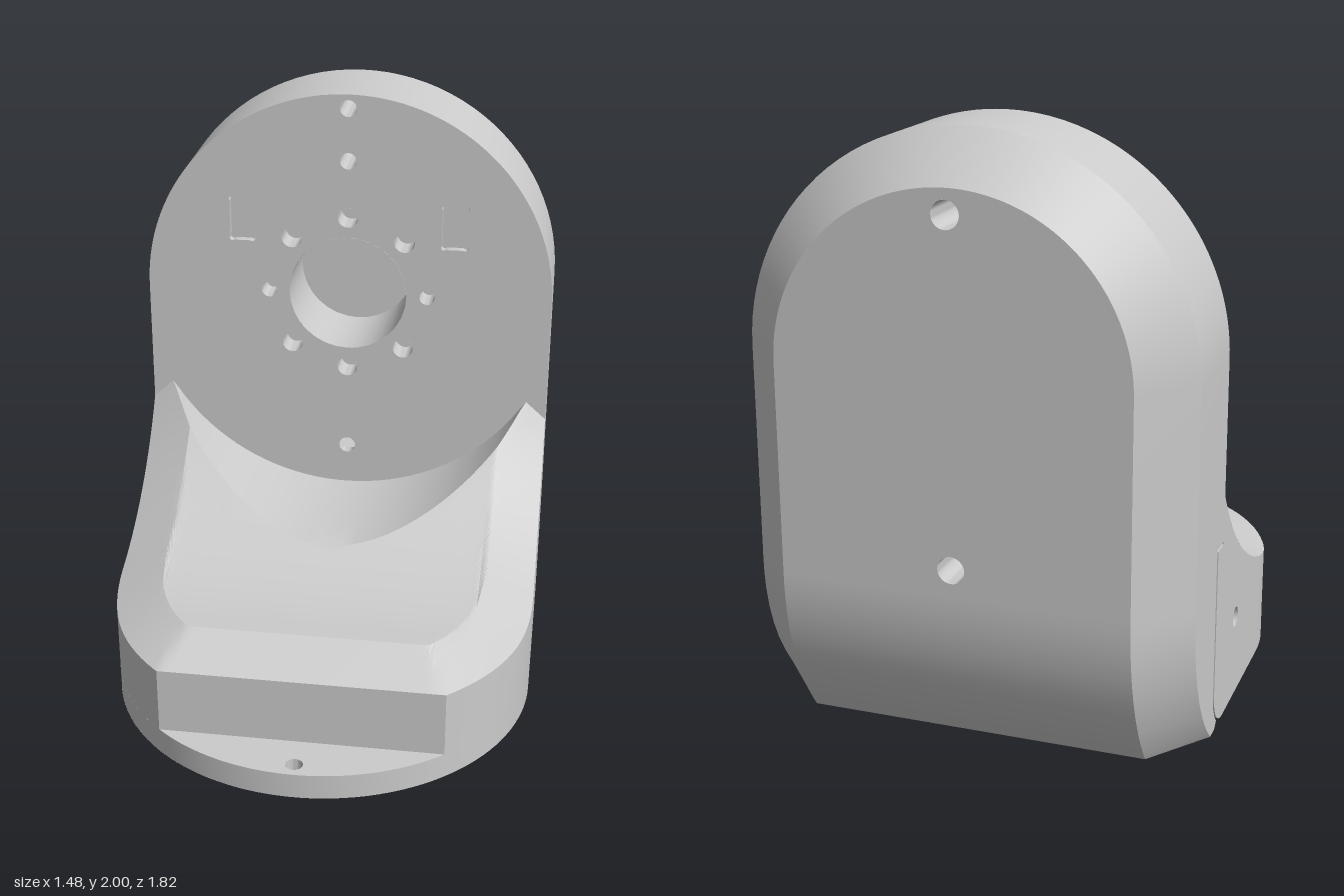
import * as THREE from 'three';
import { toCreasedNormals } from 'three/addons/utils/BufferGeometryUtils.js';

const R = 0.74, AXIS_Y = 1.26, AXIS_Z = 0.17, FACE_Z = -0.4;
const material = new THREE.MeshStandardMaterial({ color: 0xcccccc, side: THREE.DoubleSide });

function add(parent, name, geometry) {
  const mesh = new THREE.Mesh(geometry, material);
  mesh.name = name;
  parent.add(mesh);
  return mesh;
}

// Skin over rows of points, every row the same length
function skin(rows) {
  const n = rows[0].length, index = [];
  for (let i = 0; i < rows.length - 1; i++) {
    for (let j = 0; j < n - 1; j++) {
      const a = i * n + j, b = a + n;
      index.push(a, a + 1, b + 1, a, b + 1, b);
    }
  }
  const g = new THREE.BufferGeometry();
  g.setAttribute('position', new THREE.Float32BufferAttribute(rows.flat(2), 3));
  g.setIndex(index);
  g.computeVertexNormals();
  return toCreasedNormals(g, 0.4);
}

// Straight-sided panel with one round end (dir 1 = up, -1 = down)
function archShape(r, len, dir) {
  const s = new THREE.Shape();
  s.moveTo(-dir * r, -dir * len);
  s.lineTo(dir * r, -dir * len);
  s.absarc(0, 0, r, dir > 0 ? 0 : Math.PI, dir > 0 ? Math.PI : 2 * Math.PI);
  return s;
}

const circle = (x, y, r) => new THREE.Path().absarc(x, y, r, 0, Math.PI * 2);

// Rectangular slot with relieved corners
function slotPath(cx, cy) {
  const p = new THREE.Path();
  [[1, 1], [-1, 1], [-1, -1], [1, -1]].forEach(([sx, sy], i) => {
    const a = (i * Math.PI) / 2;
    p.absarc(cx + sx * 0.037, cy + sy * 0.074, 0.012, a - 0.7, a + Math.PI / 2 + 0.7);
  });
  p.closePath();
  return p;
}

// Mounting face in its own plane: bore, bolt circle, slots and extra holes
function mountingFace(name, len, dir, holes) {
  const group = new THREE.Group();
  group.name = name;
  const shape = archShape(R, len, dir);
  const hole = (label, x, y, profile) => {
    shape.holes.push(circle(x, y, profile[0][0]));
    const g = new THREE.LatheGeometry(profile.map(p => new THREE.Vector2(...p)), 32);
    g.rotateX(-Math.PI / 2);
    add(group, label, toCreasedNormals(g, 0.6)).position.set(x, y, 0);
  };
  const blind = (r, d) => [[r, 0], [r, d], [0, d]];
  hole('mainBore', 0, 0, blind(0.215, 0.3));
  for (let i = 0; i < 8; i++) {
    const a = (i * Math.PI) / 4;
    hole('boltHole', 0.29 * Math.cos(a), 0.29 * Math.sin(a), blind(i % 4 ? 0.037 : 0.028, 0.1));
  }
  for (const [y, profile] of holes) hole('screwHole', 0, y, profile);
  for (const side of [-1, 1]) {
    const path = slotPath(side * 0.385, 0.27), pts = path.getPoints(8);
    shape.holes.push(path);
    add(group, 'slotWall', skin([0, -0.03].map(z => pts.map(p => [p.x, p.y, z]))));
    add(group, 'slotFloor', new THREE.ShapeGeometry(new THREE.Shape(pts))).position.z = -0.03;
  }
  add(group, 'facePlate', new THREE.ShapeGeometry(shape, 40));
  return group;
}

function createUpright() {
  const group = new THREE.Group();
  group.name = 'upright';
  // Front, chamfer and back depth at each height; the back sweeps forward near the floor
  const arc = (y, z, r, top) => (y < top ? z + r - Math.sqrt(r * r - (top - y) ** 2) : z);
  const chamferZ = y => arc(y, -0.75, 0.68, 0.52);
  const backZ = y => arc(y, -0.91, 0.89, 0.55);
  const frontZ = y => (y === 0 ? -0.455 : y < 0.13 ? -0.345 - Math.sqrt(0.0196 - (0.13 - y) ** 2) : -0.485);
  const low = [0, 0.02, 0.05, 0.09, 0.13, 0.2, 0.27, 0.34, 0.41, 0.47, 0.52, 0.55, 0.645].map(y => [y, frontZ(y)]);
  low.push([0.645, FACE_Z]);

  const outline = r => {
    const right = [...low, [0.9, FACE_Z]].map(([y, z]) => [r, y, z]);
    const left = right.map(([x, y, z]) => [-x, y, z]).reverse();
    const top = [];
    for (let i = 0; i <= 48; i++) {
      const a = (i * Math.PI) / 48;
      top.push([r * Math.cos(a), AXIS_Y + r * Math.sin(a), FACE_Z]);
    }
    return [...right, ...top, ...left];
  };
  add(group, 'uprightShell', skin([
    outline(R),
    outline(R).map(([x, y]) => [x, y, chamferZ(y)]),
    outline(0.58).map(([x, y]) => [x, y, backZ(y)]),
  ]));
  const across = (w, y, z) => [[-w, y, z], [w, y, z]];
  add(group, 'lowerFrontWall', skin(low.map(([y, z]) => across(R, y, z))));
  add(group, 'uprightFoot', skin([across(R, 0, -0.455), across(R, 0, chamferZ(0)), across(0.58, 0, backZ(0))]));
  add(group, 'lowerBackSweep', skin(low.filter(([y]) => y <= 0.55).map(([y]) => across(0.58, y, backZ(y)))));

  const back = archShape(0.58, AXIS_Y - 0.55, 1);
  back.holes.push(circle(0, 0.5, 0.045), circle(0, -0.615, 0.045));
  add(group, 'backPanel', new THREE.ShapeGeometry(back, 48)).position.set(0, AXIS_Y, -0.91);

  const through = [[0.03, 0], [0.03, 0.25], [0.045, 0.25], [0.045, 0.51]];
  const face = mountingFace('uprightFace', 0.81, 1, [
    [0.5, through], [-0.615, through], [0.69, [[0.03, 0], [0.03, 0.3], [0, 0.3]]],
  ]);
  face.position.set(0, AXIS_Y, FACE_Z);
  group.add(face);
  return group;
}

// Height rules of the base top: rim curve, crown curve, and the round clearance cut
const sweep = (z, y, r, start) => (z > start ? y : y + r - Math.sqrt(r * r - (start - z) ** 2));
const rimY = z => sweep(z, 0.325, 1.05, 0.48);
const crownY = z => sweep(z, 0.41, 1.02, 0.5);
const cutY = x => AXIS_Y - Math.sqrt(0.77 ** 2 - x * x);
function topY(x, z) {
  const d = R - (z > AXIS_Z ? Math.hypot(x, z - AXIS_Z) : Math.abs(x));
  const s = THREE.MathUtils.clamp(Math.min(d / 0.165, (0.73 - z) / 0.155), 0, 1);
  return THREE.MathUtils.lerp(rimY(z), crownY(z), s);
}

function createBase() {
  const group = new THREE.Group();
  group.name = 'base';

  // Front wall, chamfer, swept crown and clearance cut as columns across x
  const xs = [-0.575, -0.484, -0.413, 0.413, 0.484, 0.575];
  for (let i = 0; i <= 56; i++) xs.push(R * Math.sin((i / 56 - 0.5) * Math.PI));
  xs.sort((a, b) => a - b);
  const contour = (r, x, limit) => Math.min(limit, AXIS_Z + Math.sqrt(Math.max(0, r * r - x * x)));
  const columns = xs.map(x => {
    const outer = contour(R, x, 0.73), inner = contour(0.575, x, 0.575);
    let a = FACE_Z, b = inner;
    for (let i = 0; i < 30; i++) {
      const m = (a + b) / 2;
      if (topY(x, m) > cutY(x)) a = m; else b = m;
    }
    const column = [[x, 0.09, outer]];
    for (const [from, to, n] of [[outer, inner, 4], [inner, a, 18], [a, FACE_Z, 3]]) {
      for (let i = 0; i <= n; i++) {
        const z = THREE.MathUtils.lerp(from, to, i / n);
        column.push([x, Math.min(topY(x, z), cutY(x)), z]);
      }
    }
    return column;
  });
  add(group, 'baseTop', skin(columns));

  // Flat sides with the cross hole
  const side = new THREE.Shape();
  side.moveTo(AXIS_Z, 0);
  for (let i = 0; i <= 20; i++) {
    const z = THREE.MathUtils.lerp(AXIS_Z, FACE_Z, i / 20);
    side.lineTo(z, rimY(z));
  }
  side.lineTo(FACE_Z, 0.635);
  side.lineTo(-0.47, 0.635);
  side.absarc(-0.345, 0.125, 0.125, Math.PI, Math.PI * 1.5);
  side.holes.push(circle(-0.19, 0.29, 0.035));
  for (const s of [-1, 1]) {
    add(group, 'baseSide', new THREE.ShapeGeometry(side, 16).rotateY(-Math.PI / 2)).position.x = s * R;
  }
  const tube = new THREE.CylinderGeometry(0.035, 0.035, 2 * R, 24, 1, true).rotateZ(Math.PI / 2);
  add(group, 'crossHole', tube).position.set(0, 0.29, -0.19);

  // Rounded heel and back wall facing the gap
  const heel = [];
  for (let i = 0; i <= 10; i++) {
    const a = (i * Math.PI) / 20;
    heel.push([0.125 - 0.125 * Math.cos(a), -0.345 - 0.125 * Math.sin(a)]);
  }
  heel.push([0.635, -0.47], [0.635, FACE_Z]);
  add(group, 'baseHeel', skin(heel.map(([y, z]) => [[-R, y, z], [R, y, z]])));

  // Round front lip
  const rim = [0, 0.09].map(y => Array.from({ length: 49 }, (_, i) => {
    const a = (i * Math.PI) / 48;
    return [R * Math.cos(a), y, AXIS_Z + R * Math.sin(a)];
  }));
  add(group, 'lipRim', skin(rim));
  const lip = archShape(R, 0, -1);
  lip.holes.push(circle(0, -0.685, 0.029));
  add(group, 'lipTop', new THREE.ShapeGeometry(lip, 48).rotateX(-Math.PI / 2)).position.set(0, 0.09, AXIS_Z);

  // Underside
  const face = mountingFace('baseUnderside', AXIS_Z + 0.345, -1, [[-0.685, [[0.029, 0], [0.029, 0.09]]]]);
  face.rotation.set(Math.PI / 2, Math.PI, 0, 'YXZ');
  face.position.z = AXIS_Z;
  group.add(face);
  return group;
}

export function createModel() {
  const model = new THREE.Group();
  model.name = 'angleBracket';
  model.add(createUpright(), createBase());
  return model;
}
